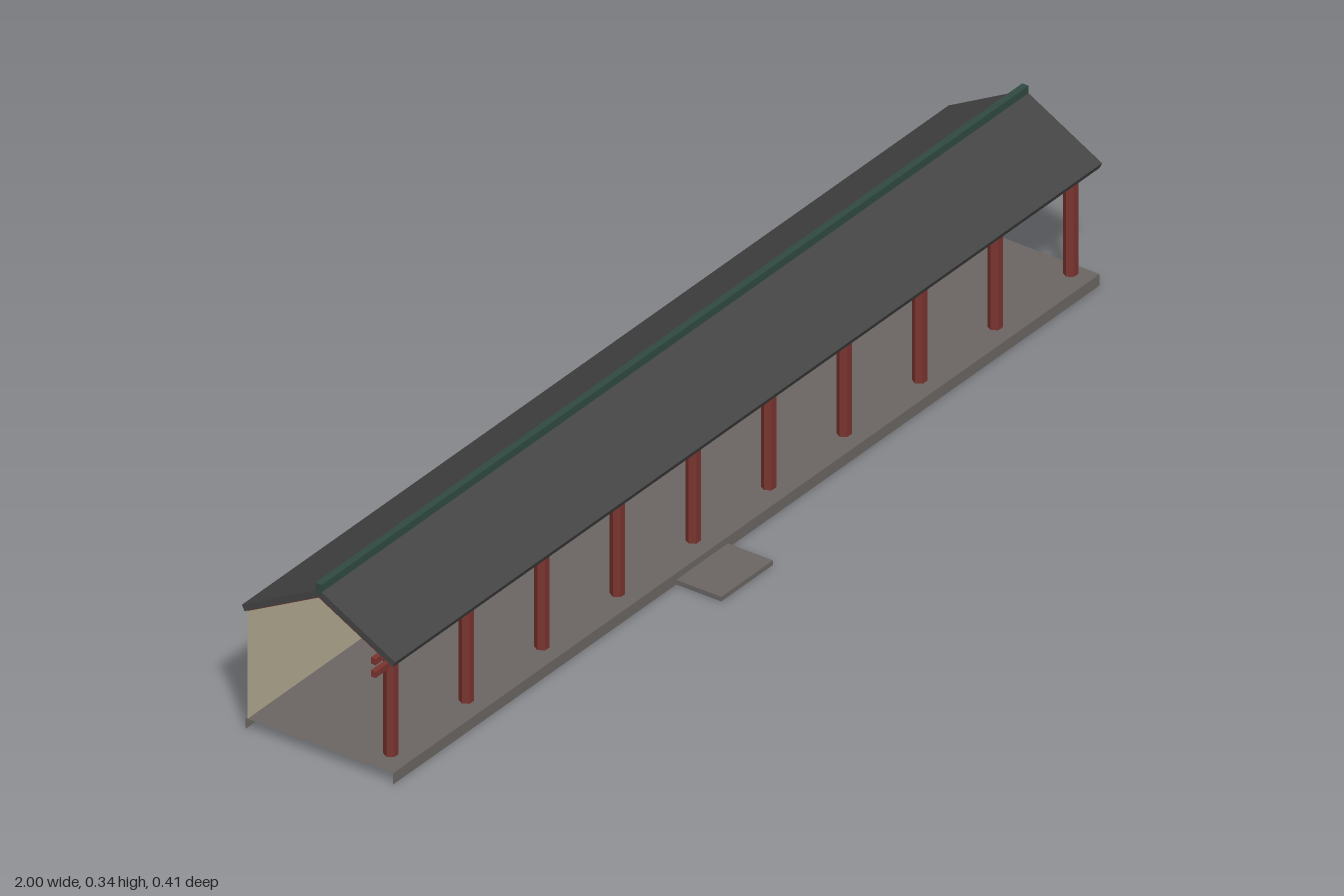
import * as THREE from 'three';

const LENGTH = 2, RIDGE_Z = -0.0435;

const material = (name, color, side = THREE.FrontSide) => {
  const m = new THREE.MeshStandardMaterial({ color, side });
  m.name = name;
  return m;
};

// Open sheet running the whole length, from a cross-section of [z, y] points
function sheet(points) {
  const h = LENGTH / 2, pos = [];
  for (let i = 0; i < points.length - 1; i++) {
    const [z0, y0] = points[i], [z1, y1] = points[i + 1];
    pos.push(-h, y0, z0, h, y0, z0, h, y1, z1, -h, y0, z0, h, y1, z1, -h, y1, z1);
  }
  const g = new THREE.BufferGeometry();
  g.setAttribute('position', new THREE.Float32BufferAttribute(pos, 3));
  g.computeVertexNormals();
  return g;
}

export function createModel() {
  const group = new THREE.Group();
  group.name = 'coveredWalkway';

  const stone = material('stone', 0x6b6664, THREE.DoubleSide);
  const plaster = material('plaster', 0xb0a890, THREE.DoubleSide);
  const red = material('redTimber', 0x7a342e, THREE.DoubleSide);
  const tile = material('roofTile', 0x444444);
  const green = material('ridgeGreen', 0x304a40);

  const add = (name, geometry, mat, x = 0, y = 0, z = 0) => {
    const mesh = new THREE.Mesh(geometry, mat);
    mesh.name = name;
    mesh.position.set(x, y, z);
    group.add(mesh);
    return mesh;
  };

  // Floor with front and back lips, open at both ends
  add('floor', sheet([[0.11, 0], [0.11, 0.022], [-0.195, 0.022], [-0.195, 0]]), stone);

  // Entrance step
  add('step', new THREE.BoxGeometry(0.146, 0.009, 0.122), stone, -0.125, 0.0045, 0.142);

  // Back wall
  add('backWall', sheet([[-0.19, 0.022], [-0.19, 0.236]]), plaster);

  // Six-sided columns with a flat side to the front
  const columnGeo = new THREE.CylinderGeometry(0.013, 0.013, 0.224, 6).toNonIndexed();
  columnGeo.rotateY(Math.PI / 6);
  columnGeo.computeVertexNormals();
  for (let i = 0; i < 10; i++) {
    add('column', columnGeo, red, -0.95 + i * 0.2137, 0.1335, 0.0695);
  }

  // Two rails between the columns
  for (const y of [0.201, 0.226]) {
    add('rail', new THREE.BoxGeometry(LENGTH, 0.012, 0.01), red, 0, y, 0.0695);
  }

  // Gable roof extruded along the length
  const half = [[0.1585, 0.24], [0.1535, 0.229]];
  const profile = [
    [0, 0.326], half[0], half[1], [0, 0.311],
    [-half[1][0], half[1][1]], [-half[0][0], half[0][1]],
  ];
  const shape = new THREE.Shape(profile.map(([z, y]) => new THREE.Vector2(-z, y)));
  const roofGeo = new THREE.ExtrudeGeometry(shape, { depth: LENGTH, bevelEnabled: false });
  roofGeo.translate(0, 0, -LENGTH / 2);
  roofGeo.rotateY(Math.PI / 2);
  add('roof', roofGeo, tile, 0, 0, RIDGE_Z);

  // Red ceiling just under the roof
  add('ceiling', sheet([[0.15, 0.23], [0, 0.31], [-0.15, 0.23]]), red, 0, 0, RIDGE_Z);

  // Ridge cap
  add('ridge', new THREE.BoxGeometry(LENGTH, 0.021, 0.013), green, 0, 0.3265, RIDGE_Z);

  return group;
}
